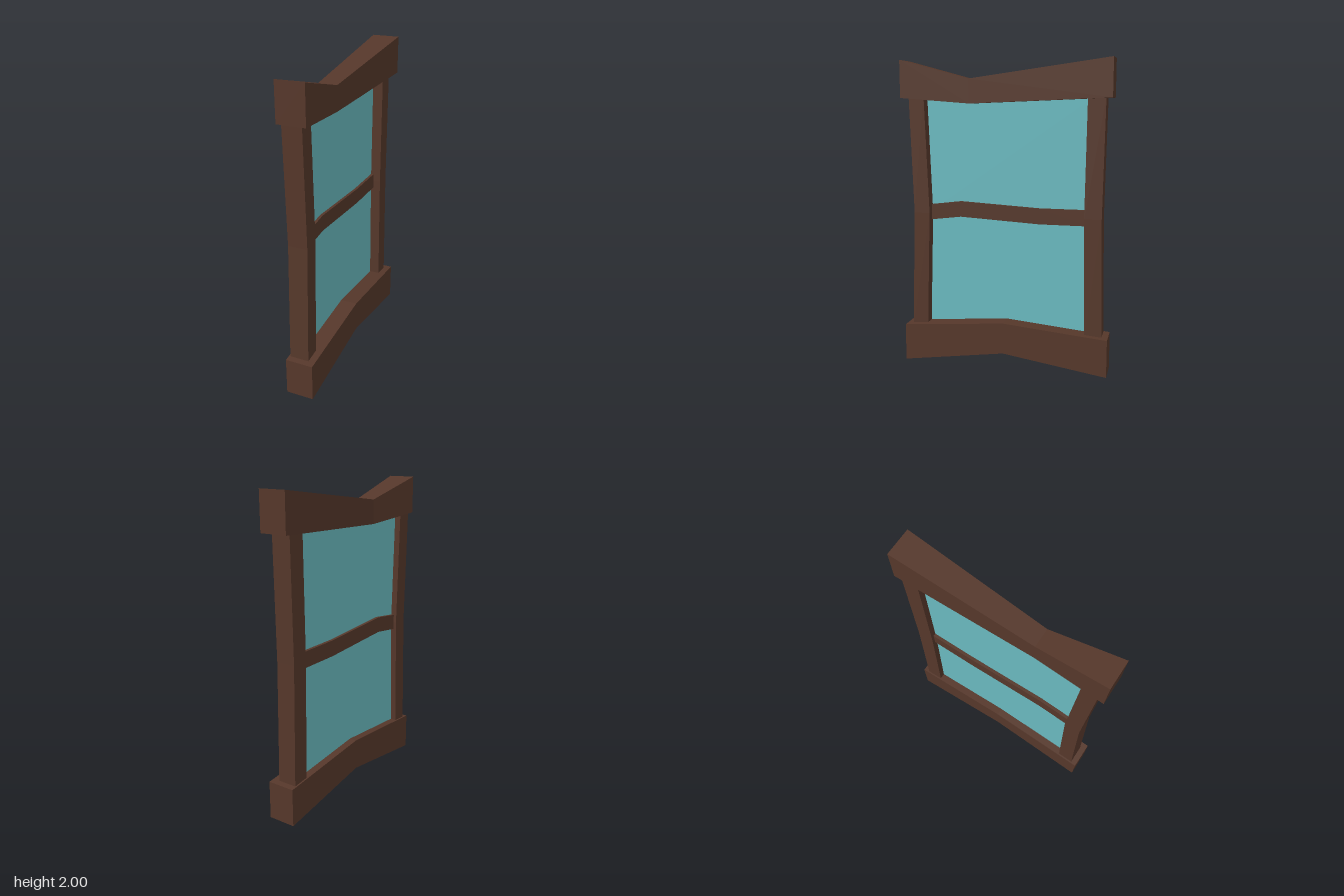
import * as THREE from 'three';

const wood = new THREE.MeshStandardMaterial({ color: 0x55372a, flatShading: true });
const glass = new THREE.MeshStandardMaterial({ color: 0x69b8be, flatShading: true });

// Joins four-cornered cross-sections (counter-clockwise seen from the far end) and caps both ends
function loft(name, sections, material) {
  const index = [];
  const last = (sections.length - 1) * 4;
  for (let s = 0; s < last; s += 4) {
    for (let i = 0; i < 4; i++) {
      const j = (i + 1) % 4;
      index.push(s + i, s + j, s + 4 + j, s + i, s + 4 + j, s + 4 + i);
    }
  }
  index.push(0, 3, 2, 0, 2, 1);
  index.push(last, last + 1, last + 2, last, last + 2, last + 3);
  const indexed = new THREE.BufferGeometry();
  indexed.setAttribute('position', new THREE.Float32BufferAttribute(sections.flat(2), 3));
  indexed.setIndex(index);
  const geometry = indexed.toNonIndexed();
  geometry.computeVertexNormals();
  const mesh = new THREE.Mesh(geometry, material);
  mesh.name = name;
  return mesh;
}

// Cross-section of a part running along z
const alongZ = (z, y0, y1, x0, x1) => [[x0, y0, z], [x1, y0, z], [x1, y1, z], [x0, y1, z]];
// Cross-section of a part running along y
const alongY = (y, z0, z1, x0, x1) => [[x0, y, z1], [x1, y, z1], [x1, y, z0], [x0, y, z0]];

export function createModel() {
  const group = new THREE.Group();
  group.name = 'crookedWindow';

  // Heavy sill, arched in the middle
  group.add(loft('sill', [
    alongZ(-0.68, 0, 0.245, -0.09, 0.09),
    alongZ(0, 0.1, 0.305, -0.09, 0.09),
    alongZ(0.68, 0, 0.245, -0.09, 0.09),
  ], wood));

  // Sagging lintel, pinched at the bend
  group.add(loft('lintel', [
    alongZ(-0.68, 1.76, 2, -0.09, 0.09),
    alongZ(0.23, 1.725, 1.88, -0.06, 0.06),
    alongZ(0.68, 1.76, 2, -0.09, 0.09),
  ], wood));

  // Bent side posts
  const post = (name, rows) =>
    group.add(loft(name, rows.map(([y, z0, z1]) => alongY(y, z0, z1, -0.08, 0.045)), wood));
  post('frontPost', [[0.24, 0.535, 0.64], [1.01, 0.51, 0.615], [1.77, 0.537, 0.64]]);
  post('backPost', [[0.24, -0.64, -0.53], [1.01, -0.625, -0.515], [1.77, -0.637, -0.525]]);

  // Crooked glazing bar
  const bar = [[-0.54, 0.957], [-0.22, 0.957], [0.31, 0.986], [0.53, 0.958]];
  group.add(loft('glazingBar', bar.map(([z, y]) => alongZ(z, y, y + 0.102, -0.06, -0.005)), wood));

  // Glass pane set into the frame
  group.add(loft('pane', [
    alongY(0.25, -0.55, 0.55, -0.04, -0.023),
    alongY(1.01, -0.535, 0.53, -0.04, -0.023),
    alongY(1.76, -0.545, 0.55, -0.04, -0.023),
  ], glass));

  return group;
}
